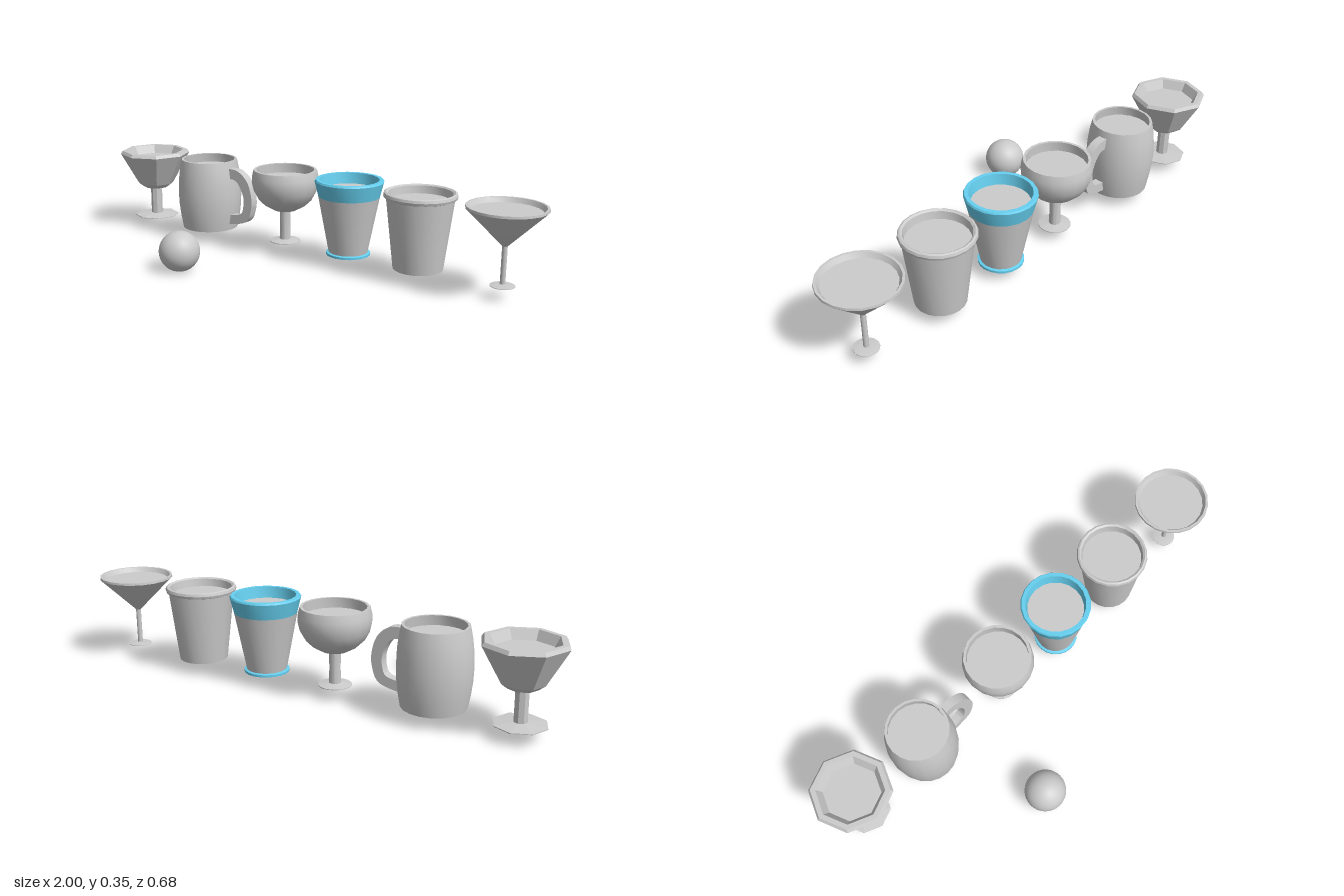
import * as THREE from 'three';
import { toCreasedNormals } from 'three/addons/utils/BufferGeometryUtils.js';

const grey = new THREE.MeshStandardMaterial({ color: 0xcccccc });
const blue = new THREE.MeshStandardMaterial({ color: 0x66d0f0 });
const facet = new THREE.MeshStandardMaterial({ color: 0xcccccc, flatShading: true });

const ROW_Z = -0.187;

// Turned part from [radius, height] pairs, running up the outside and down the inside
function turned(name, profile, material = grey, sides = 20) {
  const points = profile.map(([r, y]) => new THREE.Vector2(r, y));
  const geometry = toCreasedNormals(new THREE.LatheGeometry(points, sides), 0.5);
  const mesh = new THREE.Mesh(geometry, material);
  mesh.name = name;
  return mesh;
}

// Flat drink surface inside a vessel
function drink(radius, y, material = grey, sides = 20) {
  return turned('drink', [[radius, y], [0, y]], material, sides);
}

function vessel(name, x, ...parts) {
  const group = new THREE.Group();
  group.name = name;
  group.position.set(x, 0, ROW_Z);
  group.add(...parts);
  return group;
}

// Curved flat-sided mug handle
function mugHandle() {
  const outer = [[0.11, 0.322], [0.17, 0.317], [0.218, 0.28], [0.241, 0.22], [0.241, 0.16], [0.21, 0.1], [0.11, 0.076]];
  const inner = [[0.11, 0.118], [0.18, 0.13], [0.199, 0.165], [0.199, 0.21], [0.18, 0.252], [0.155, 0.275], [0.11, 0.28]];
  const toVec = ([x, y]) => new THREE.Vector2(x, y);
  const shape = new THREE.Shape();
  shape.moveTo(...outer[0]);
  shape.splineThru(outer.slice(1).map(toVec));
  shape.lineTo(...inner[0]);
  shape.splineThru(inner.slice(1).map(toVec));
  const geometry = new THREE.ExtrudeGeometry(shape, { depth: 0.036, bevelEnabled: false, curveSegments: 18 });
  geometry.translate(0, 0, -0.018);
  const mesh = new THREE.Mesh(toCreasedNormals(geometry, 0.6), grey);
  mesh.name = 'mugHandle';
  return mesh;
}

export function createModel() {
  const model = new THREE.Group();
  model.name = 'drinkSet';

  // Eight-sided goblet
  model.add(vessel('octagonalGoblet', -0.847,
    turned('octagonalGobletBody', [
      [0, 0.05], [0.097, 0.05], [0.097, 0.053], [0.025, 0.06], [0.025, 0.178], [0.055, 0.182],
      [0.078, 0.2], [0.154, 0.337], [0.145, 0.35], [0.126, 0.35], [0.104, 0.31],
    ], facet, 8),
    drink(0.108, 0.315, facet, 8)));

  // Barrel mug
  model.add(vessel('mug', -0.525,
    turned('mugBody', [
      [0, 0.05], [0.12, 0.05], [0.129, 0.1], [0.135, 0.15], [0.137, 0.2], [0.135, 0.255],
      [0.129, 0.305], [0.12, 0.35], [0.11, 0.35], [0.115, 0.31],
    ]),
    drink(0.116, 0.312),
    mugHandle()));

  // Round stemmed goblet
  model.add(vessel('roundGoblet', -0.118,
    turned('roundGobletBody', [
      [0, 0.05], [0.064, 0.05], [0.064, 0.053], [0.023, 0.06], [0.021, 0.12], [0.023, 0.178],
      [0.05, 0.186], [0.085, 0.206], [0.112, 0.232], [0.13, 0.265], [0.138, 0.3], [0.137, 0.325],
      [0.13, 0.354], [0.119, 0.354], [0.12, 0.31],
    ]),
    drink(0.122, 0.315)));

  // Tapered tumbler with coloured band and foot
  model.add(vessel('bandedTumbler', 0.192,
    turned('tumblerFoot', [[0, 0.05], [0.088, 0.05], [0.088, 0.059], [0.077, 0.062]], blue),
    turned('tumblerBody', [[0.078, 0.06], [0.122, 0.288]]),
    turned('tumblerBand', [[0.122, 0.288], [0.137, 0.348], [0.133, 0.355], [0.118, 0.355], [0.11, 0.305]], blue),
    drink(0.112, 0.312)));

  // Cup with rolled lip
  model.add(vessel('lippedCup', 0.505,
    turned('lippedCupBody', [
      [0, 0.05], [0.096, 0.05], [0.129, 0.325], [0.137, 0.328], [0.14, 0.337], [0.137, 0.347],
      [0.13, 0.35], [0.122, 0.345], [0.116, 0.305],
    ]),
    drink(0.119, 0.315)));

  // Cone cocktail glass
  model.add(vessel('cocktailGlass', 0.848,
    turned('cocktailGlassBody', [
      [0, 0.05], [0.046, 0.05], [0.046, 0.052], [0.01, 0.058], [0.01, 0.2],
      [0.148, 0.338], [0.147, 0.347], [0.138, 0.347], [0.122, 0.32],
    ]),
    drink(0.13, 0.329)));

  // Loose ball in front of the row
  const ball = new THREE.Mesh(new THREE.SphereGeometry(0.081, 32, 20), grey);
  ball.name = 'ball';
  ball.position.set(-0.307, 0.081, 0.259);
  model.add(ball);

  return model;
}
